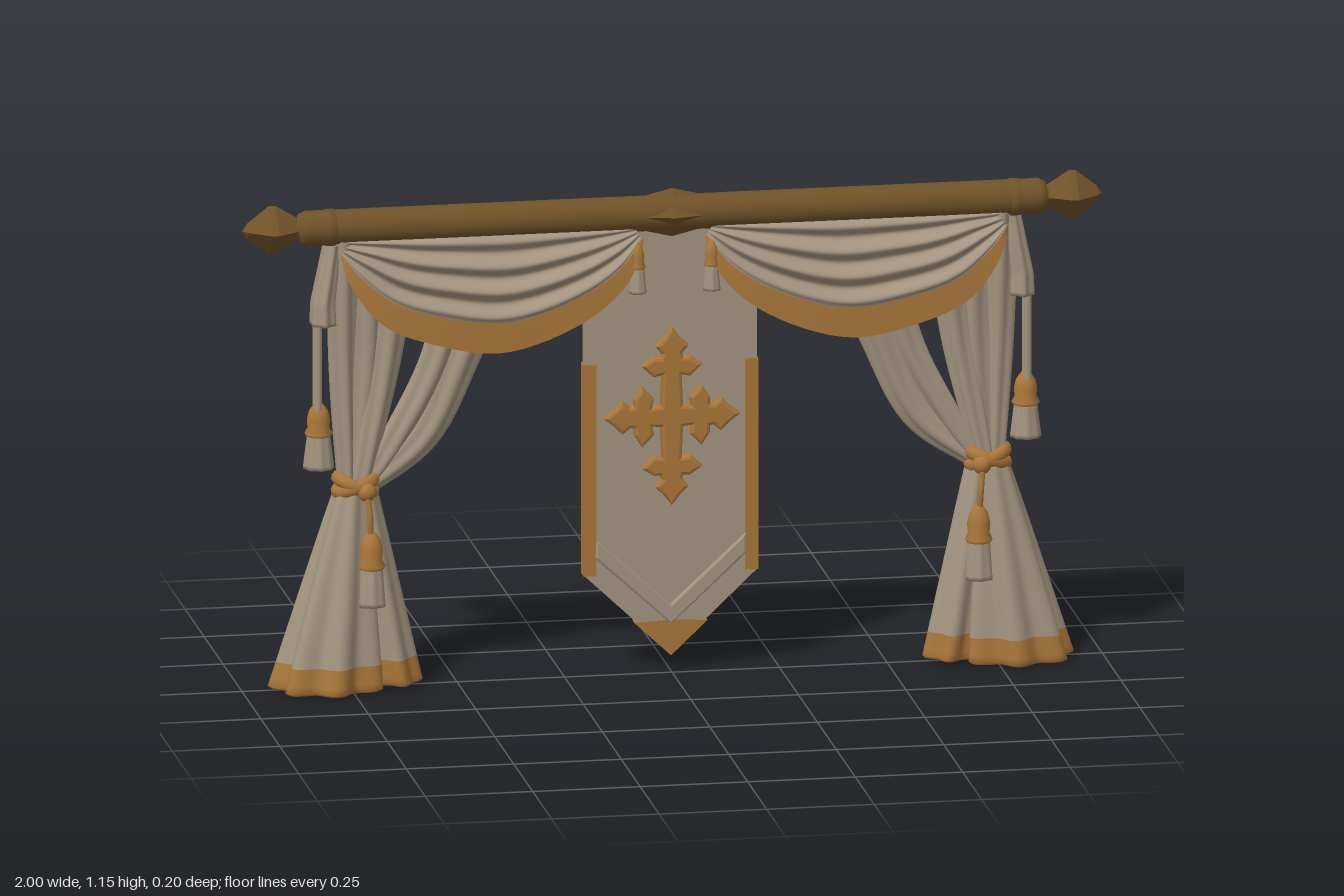
import * as THREE from 'three';
import { mergeVertices } from 'three/addons/utils/BufferGeometryUtils.js';

const mat = (color) => new THREE.MeshStandardMaterial({ color, side: THREE.DoubleSide });
const fabric = mat(0xa39480), gold = mat(0xa9763a), wood = mat(0x705228);
const facetedWood = wood.clone();
facetedWood.flatShading = true;

function add(parent, name, geometry, material, x = 0, y = 0, z = 0) {
  const mesh = new THREE.Mesh(geometry, material);
  mesh.name = name;
  mesh.position.set(x, y, z);
  parent.add(mesh);
  return mesh;
}

// Surface through f(u, v): u runs to the right, v runs downwards
function loft(f, nu, nv, v0 = 0, v1 = 1) {
  const g = new THREE.PlaneGeometry(1, 1, nu, nv);
  const p = g.attributes.position;
  for (let i = 0; i < p.count; i++) {
    const u = (i % (nu + 1)) / nu, v = Math.floor(i / (nu + 1)) / nv;
    p.setXYZ(i, ...f(u, v0 + (v1 - v0) * v));
  }
  g.deleteAttribute('uv');
  g.deleteAttribute('normal');
  const merged = mergeVertices(g, 1e-5);
  merged.computeVertexNormals();
  return merged;
}

const lathe = (pts, n) => new THREE.LatheGeometry(pts.map(([r, y]) => new THREE.Vector2(r, y)), n);
const curve = (pts) => new THREE.CatmullRomCurve3(pts.map((p) => new THREE.Vector3(...p)));
const shapeOf = (pts) => new THREE.Shape(pts.map(([x, y]) => new THREE.Vector2(x, y)));

function slab(pts, depth, bevel = 0) {
  const g = new THREE.ExtrudeGeometry(shapeOf(pts), {
    depth, bevelEnabled: bevel > 0, bevelSize: bevel, bevelThickness: bevel, bevelSegments: 2,
  });
  return g.translate(0, 0, -depth / 2);
}

// Gold head over a flared, slightly fluted fabric skirt; y is the bottom
function tassel(parent, name, x, y, z, h, r) {
  const g = new THREE.Group();
  g.name = name;
  g.position.set(x, y, z);
  add(g, 'tasselHead', lathe([[r * 0.85, 0.48 * h], [r * 0.95, 0.52 * h], [r * 0.75, 0.6 * h],
    [r * 0.8, 0.72 * h], [r * 0.65, 0.85 * h], [r * 0.3, 0.95 * h], [0, h]], 16), gold);
  add(g, 'tasselSkirt', loft((u, v) => {
    const a = u * Math.PI * 2;
    const k = v > 0.9 ? r * (1 - v) * 10 : r * (0.75 + 0.3 * v) * (1 + 0.06 * Math.cos(8 * a));
    return [k * Math.sin(a), 0.5 * h * (1 - Math.min(v / 0.9, 1)), k * Math.cos(a)];
  }, 32, 10), fabric);
  parent.add(g);
}

// Flared pleated bundle below the tieback, with a gold hem tucked under
function skirtBundle(parent, name, top, bottom, r0, r1, pleats, phase) {
  const f = (u, v) => {
    const a = u * Math.PI * 2, t = Math.min(v, 1), tuck = Math.max(0, v - 1) * 10;
    const spread = Math.pow(t, 0.9);
    const w = (1 + (0.05 + 0.09 * t) * Math.cos(pleats * a + phase)) * (1 - tuck);
    const rx = r0[0] + (r1[0] - r0[0]) * spread, rz = r0[1] + (r1[1] - r0[1]) * spread;
    return [
      top[0] + (bottom[0] - top[0]) * t + rx * w * Math.sin(a),
      top[1] + (bottom[1] - top[1]) * t + 0.035 * tuck,
      -0.01 * (1 - t) + rz * w * Math.cos(a),
    ];
  };
  add(parent, name, loft(f, 72, 20, 0, 0.86), fabric);
  add(parent, name + 'Hem', loft(f, 72, 8, 0.86, 1.1), gold);
}

// Hanging fold swept down a path, narrowing at the tieback
function fold(parent, pts, width, depth) {
  const path = curve(pts);
  add(parent, 'curtainFold', loft((u, v) => {
    const a = u * Math.PI * 2, p = path.getPoint(v), t = path.getTangent(v);
    const len = Math.hypot(t.x, t.y), taper = 1 - 0.5 * v * v;
    const w = 1 + 0.12 * Math.cos(5 * a + 2 * v);
    const s = width * taper * w * Math.sin(a);
    return [p.x - (t.y / len) * s, p.y + (t.x / len) * s, p.z + depth * taper * w * Math.cos(a)];
  }, 40, 24), fabric);
}

// Draped swag: folds follow the hem curve and bulge away from the rod
function swag(parent, name, hemPts, zSign, bulge, foldDepth, hemStart) {
  const hem = curve(hemPts), endX = hemPts[hemPts.length - 1][0];
  const f = (u, v) => {
    const b = hem.getPoint(u), topX = 0.09 + (endX - 0.09) * u, ends = Math.pow(Math.sin(Math.PI * u), 0.6);
    const ripple = v < hemStart ? foldDepth * Math.sin((v / hemStart) * Math.PI * 7) * ends : 0.004;
    const z = 0.026 + bulge * ends * Math.pow(Math.sin(Math.min(v * 1.3, 1) * Math.PI / 2), 0.8) + ripple;
    return [topX + (b.x - topX) * v, 1.07 + (b.y - 1.07) * v, zSign * z];
  };
  add(parent, name, loft(f, 48, 44, 0, hemStart), fabric);
  add(parent, name + 'Hem', loft(f, 48, 6, hemStart, 1), gold);
}

function curtainSide() {
  const g = new THREE.Group();
  g.name = 'curtainSide';

  // Upper folds gathered into the tieback
  fold(g, [[0.765, 1.07, -0.005], [0.765, 0.78, -0.018], [0.755, 0.46, -0.01]], 0.036, 0.034);
  fold(g, [[0.70, 1.07, -0.014], [0.71, 0.78, -0.026], [0.745, 0.46, -0.018]], 0.045, 0.034);
  fold(g, [[0.63, 1.07, -0.014], [0.665, 0.78, -0.02], [0.73, 0.46, 0]], 0.04, 0.034);
  fold(g, [[0.49, 1.03, -0.016], [0.545, 0.77, -0.024], [0.64, 0.59, -0.018], [0.72, 0.47, -0.01]], 0.04, 0.03);
  fold(g, [[0.385, 1.03, -0.016], [0.485, 0.78, -0.026], [0.575, 0.59, -0.022], [0.71, 0.48, -0.01]], 0.044, 0.03);

  // Lower bundles
  skirtBundle(g, 'outerCurtainBundle', [0.745, 0.48], [0.80, 0.005], [0.035, 0.042], [0.125, 0.094], 7, 0.4);
  skirtBundle(g, 'innerCurtainBundle', [0.715, 0.48], [0.645, 0.015], [0.028, 0.035], [0.058, 0.062], 5, 1);

  // Crossed tieback, knot and tassels
  for (const tilt of [0.42, -0.35]) {
    const band = add(g, 'tieback', new THREE.TorusGeometry(0.042, 0.012, 10, 32).rotateX(Math.PI / 2), gold, 0.735, 0.485, -0.008);
    band.scale.set(1.1, 1.3, 0.9);
    band.rotation.z = tilt;
  }
  add(g, 'tiebackKnot', new THREE.SphereGeometry(0.022, 16, 12), gold, 0.715, 0.475, 0.03);
  add(g, 'frontCord', new THREE.TubeGeometry(curve([[0.715, 0.47, 0.04], [0.71, 0.42, 0.048], [0.708, 0.37, 0.042]]), 8, 0.007, 8), gold);
  tassel(g, 'frontTassel', 0.706, 0.21, 0.04, 0.18, 0.034);
  tassel(g, 'sideTassel', 0.822, 0.53, 0, 0.16, 0.034);
  for (const z of [-0.013, 0.013]) {
    add(g, 'sideCord', new THREE.CylinderGeometry(0.009, 0.009, 0.25, 10), fabric, 0.825, 0.785, z);
  }
  tassel(g, 'innerTassel', 0.086, 0.92, 0.036, 0.12, 0.019);

  // Pleated tail at the outer end
  add(g, 'curtainTail', loft((u, v) => {
    const a = u * Math.PI * 2, w = 1 + 0.1 * Math.cos(6 * a);
    const tuck = Math.min(1, (1 - v) * 12);
    return [0.79 + 0.022 * Math.min(1, v * 1.5) + (0.02 + 0.01 * v) * w * tuck * Math.sin(a),
      1.06 - 0.19 * Math.min(1, v * 1.09), (0.03 + 0.01 * v) * w * tuck * Math.cos(a)];
  }, 36, 24), fabric);

  // Swags before and behind the rod
  swag(g, 'frontSwag', [[0.07, 1.04, 0], [0.11, 0.95, 0], [0.21, 0.865, 0], [0.40, 0.80, 0], [0.56, 0.825, 0],
    [0.68, 0.875, 0], [0.75, 0.96, 0], [0.775, 1.03, 0]], 1, 0.036, 0.011, 0.74);
  swag(g, 'backSwag', [[0.09, 1.05, 0], [0.19, 0.93, 0], [0.32, 0.86, 0], [0.44, 0.85, 0], [0.56, 0.91, 0],
    [0.66, 1.04, 0]], -1, 0.034, 0.004, 0.92);
  return g;
}

function bannerGroup() {
  const g = new THREE.Group();
  g.name = 'banner';
  g.position.z = -0.03;
  add(g, 'bannerCloth', slab([[-0.2, 1.08], [-0.2, 0.24], [0, 0.05], [0.2, 0.24], [0.2, 1.08]], 0.028), fabric);
  add(g, 'bannerTip', slab([[-0.085, 0.125], [0, 0.045], [0.085, 0.125], [0, 0.13]], 0.034), gold);
  for (const s of [-1, 1]) {
    add(g, 'bannerEdge', new THREE.BoxGeometry(0.03, 0.5, 0.034), gold, s * 0.188, 0.49, 0);
    // Raised chevron border
    const strip = s > 0 ? [[0, 0.125], [0.17, 0.285], [0.17, 0.32], [0, 0.16]]
      : [[0, 0.125], [0, 0.16], [-0.17, 0.32], [-0.17, 0.285]];
    add(g, 'bannerChevron', slab(strip, 0.008, 0.006), fabric, 0, 0, 0.014);
  }

  // Cross with flared, pointed arms
  const outline = [];
  for (let k = 0; k < 4; k++) {
    const L = k % 2 ? 0.148 : 0.2, c = L - 0.08, a = -k * Math.PI / 2;
    const half = [[0.018, 0.018], [0.015, c - 0.014], [0.04, c - 0.018], [0.06, c], [0.04, c + 0.012],
      [0.02, c + 0.012], [0.015, c + 0.03], [0.028, c + 0.046], [0.012, c + 0.062]];
    const arm = [...half.map(([x, y]) => [-x, y]), [0, L], ...half.slice(1).reverse()];
    for (const [x, y] of arm) {
      outline.push([x * Math.cos(a) - y * Math.sin(a), x * Math.sin(a) + y * Math.cos(a)]);
    }
  }
  add(g, 'bannerCross', slab(outline, 0.014, 0.008), gold, 0, 0.615, 0.022);
  return g;
}

export function createModel() {
  const model = new THREE.Group();
  model.name = 'curtainSet';
  const rodY = 1.098;

  // Rod with a diamond knob in the middle
  add(model, 'rod', new THREE.CylinderGeometry(0.041, 0.041, 1.68, 28).rotateZ(Math.PI / 2), wood, 0, rodY, 0);
  add(model, 'centreKnob', lathe([[0, -0.09], [0.04, -0.07], [0.057, 0], [0.04, 0.07], [0, 0.09]], 4).rotateZ(-Math.PI / 2),
    facetedWood, 0, rodY, 0);

  // Collars and four-sided finials
  for (const s of [-1, 1]) {
    add(model, 'rodCollar', lathe([[0.03, 0.78], [0.043, 0.785], [0.043, 0.805], [0.037, 0.82], [0.042, 0.85], [0.034, 0.868],
      [0.02, 0.872], [0.02, 0.9]], 24).rotateZ(-s * Math.PI / 2), wood, 0, rodY, 0);
    add(model, 'finial', lathe([[0, 0.868], [0.026, 0.872], [0.057, 0.922], [0.057, 0.938], [0.018, 0.988], [0, 1]], 4)
      .rotateZ(-s * Math.PI / 2), facetedWood, 0, rodY, 0);
  }

  model.add(bannerGroup());
  const left = curtainSide(), right = left.clone();
  left.name = 'leftCurtain';
  right.name = 'rightCurtain';
  right.scale.x = -1;
  model.add(left, right);
  return model;
}
